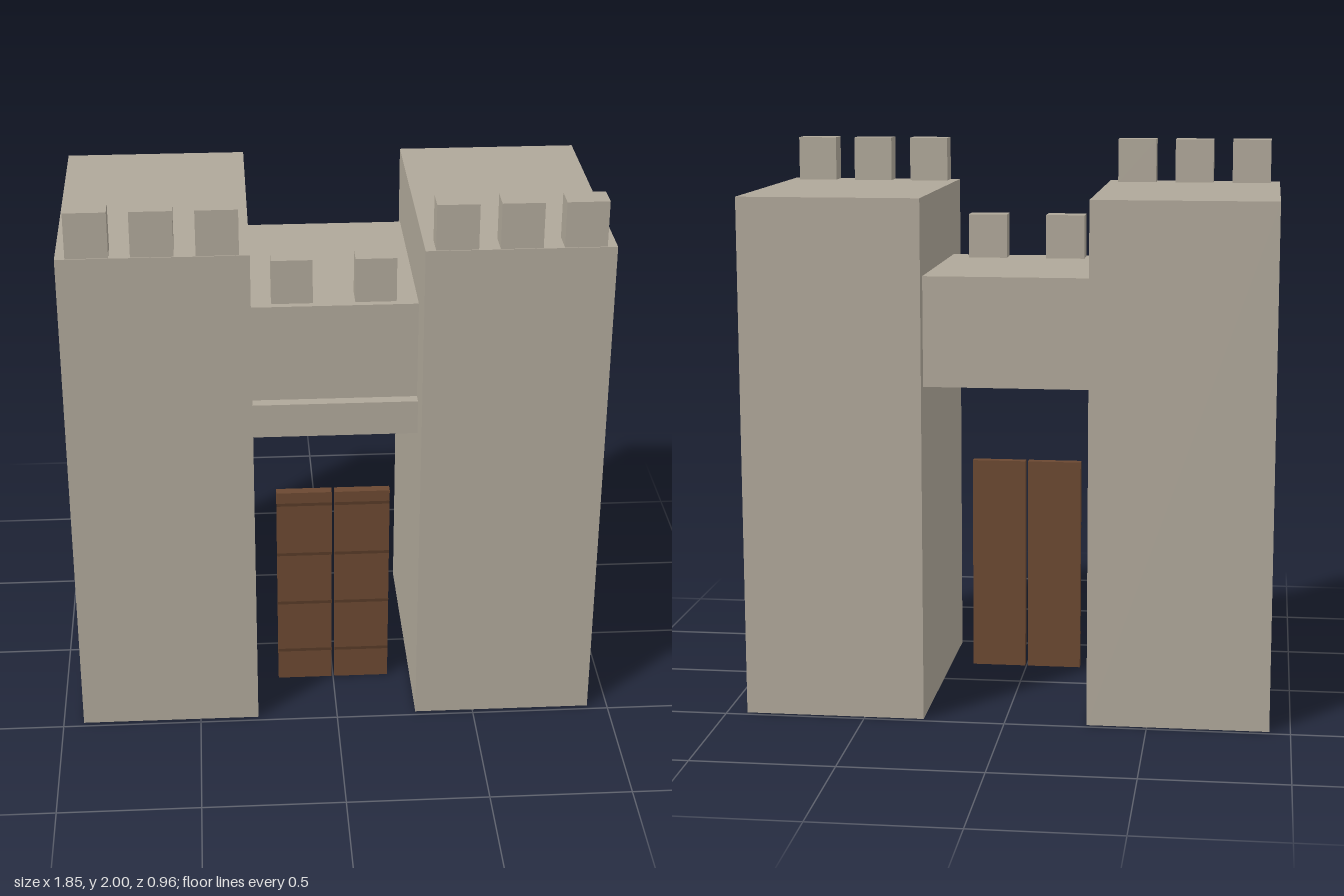
import * as THREE from 'three';

const stone = new THREE.MeshStandardMaterial({ color: 0xafa799 });
stone.name = 'stone';
const wood = new THREE.MeshStandardMaterial({ color: 0x6b4831 });
wood.name = 'wood';
const darkWood = new THREE.MeshStandardMaterial({ color: 0x573a27 });
darkWood.name = 'dark wood';

// Box given by its lower and upper bounds on each axis
function block(parent, name, material, [x0, x1], [y0, y1], [z0, z1]) {
  const mesh = new THREE.Mesh(new THREE.BoxGeometry(x1 - x0, y1 - y0, z1 - z0), material);
  mesh.position.set((x0 + x1) / 2, (y0 + y1) / 2, (z0 + z1) / 2);
  mesh.name = name;
  parent.add(mesh);
}

// Range from a to b mirrored to the given side
const mirrored = (side, a, b) => (side > 0 ? [a, b] : [-b, -a]);

export function createModel() {
  const gatehouse = new THREE.Group();
  gatehouse.name = 'gatehouse';

  for (const side of [1, -1]) {
    const label = side > 0 ? 'left' : 'right';

    // Tower with three merlons along its front edge
    const tower = new THREE.Group();
    tower.name = label + 'Tower';
    block(tower, 'towerBody', stone, mirrored(side, 0.289, 0.927), [0, 1.84], [-0.48, 0.48]);
    for (const x of [0.395, 0.609, 0.822]) {
      block(tower, 'towerMerlon', stone, mirrored(side, x - 0.071, x + 0.071), [1.84, 2], [0.387, 0.476]);
    }
    gatehouse.add(tower);

    // Door leaf with four thin cross bands
    const door = new THREE.Group();
    door.name = label + 'Door';
    block(door, 'doorLeaf', wood, mirrored(side, 0.005, 0.205), [0, 0.8], [0.2, 0.234]);
    for (let i = 0; i < 4; i++) {
      const y = 0.127 + i * 0.209;
      block(door, 'doorBand', darkWood, mirrored(side, 0.005, 0.205), [y - 0.006, y + 0.006], [0.234, 0.239]);
    }
    gatehouse.add(door);

    // Merlon on the bridge
    block(gatehouse, label + 'BridgeMerlon', stone, mirrored(side, 0.073, 0.215), [1.57, 1.73], [0.192, 0.277]);
  }

  // Bridge between the towers and the lintel bar under its front edge
  block(gatehouse, 'bridge', stone, [-0.289, 0.289], [1.185, 1.57], [-0.433, 0.302]);
  block(gatehouse, 'lintel', stone, [-0.289, 0.289], [1.09, 1.215], [0.245, 0.342]);

  return gatehouse;
}
